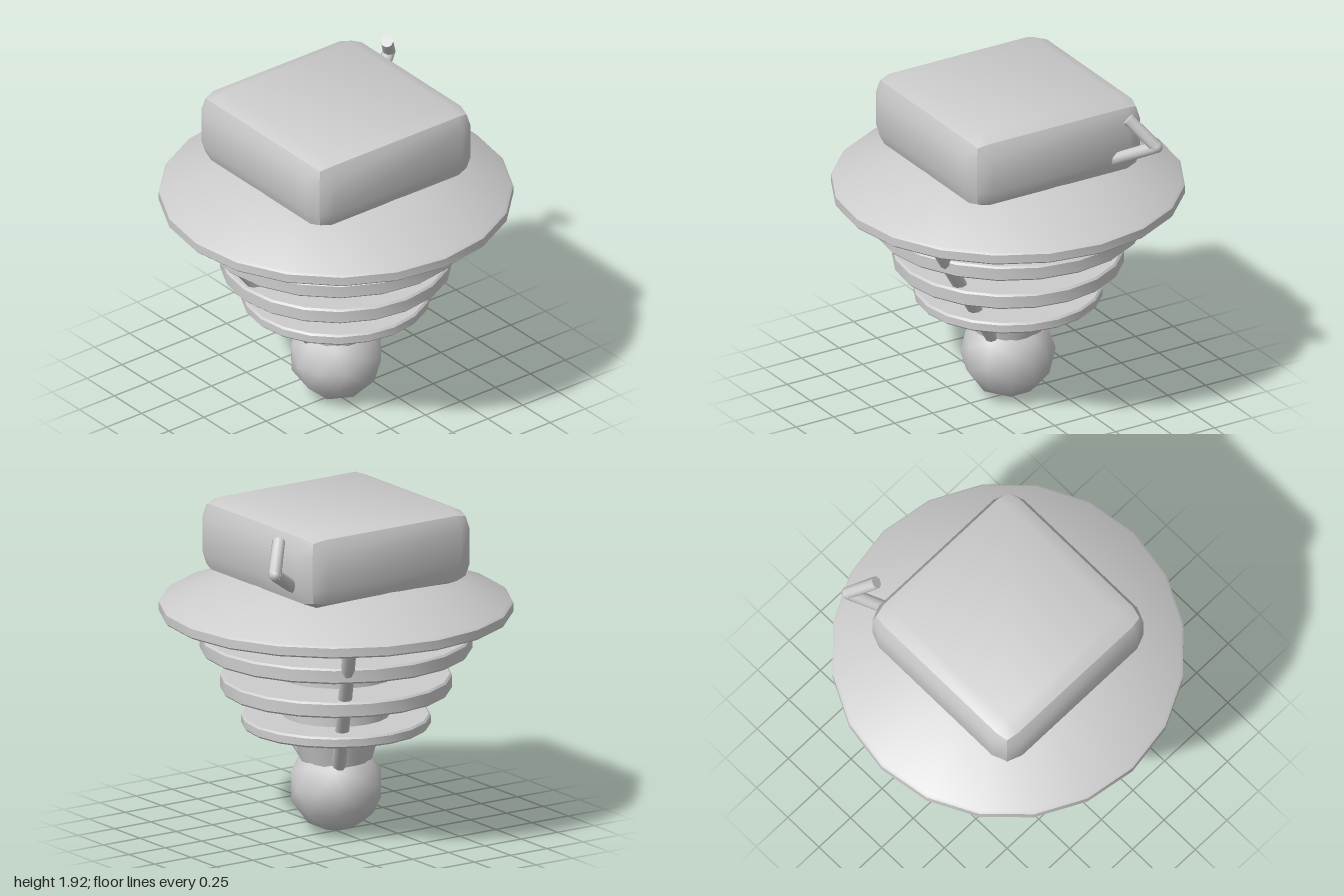
import * as THREE from 'three';
import { toCreasedNormals } from 'three/addons/utils/BufferGeometryUtils.js';
import { RoundedBoxGeometry } from 'three/addons/geometries/RoundedBoxGeometry.js';

const SIDES = 20;
const CREASE = 0.55; // radians: sharper edges than this stay hard

export function createModel() {
  const model = new THREE.Group();
  model.name = 'tieredTower';
  const grey = new THREE.MeshStandardMaterial({ color: 0xcccccc });
  grey.name = 'plain grey';

  function add(name, geometry) {
    const mesh = new THREE.Mesh(geometry, grey);
    mesh.name = name;
    model.add(mesh);
    return mesh;
  }

  // Turned part from [radius, height] points, bottom to top
  function turned(name, profile) {
    const points = profile.map(([r, y]) => new THREE.Vector2(r, y));
    return add(name, toCreasedNormals(new THREE.LatheGeometry(points, SIDES), CREASE));
  }

  // Straight rod between two points
  function rod(name, from, to, radius, sides) {
    const a = new THREE.Vector3(...from);
    const b = new THREE.Vector3(...to);
    const dir = b.clone().sub(a);
    const geometry = new THREE.CylinderGeometry(radius, radius, dir.length(), sides);
    const mesh = add(name, toCreasedNormals(geometry, 0.9));
    mesh.position.copy(a).add(b).multiplyScalar(0.5);
    mesh.quaternion.setFromUnitVectors(new THREE.Vector3(0, 1, 0), dir.normalize());
    return mesh;
  }

  // Bottom ball, turned so a five-fold corner faces the front
  const ball = new THREE.IcosahedronGeometry(0.27, 1);
  ball.rotateX(Math.atan(2 / (1 + Math.sqrt(5))));
  ball.rotateZ(Math.PI / 2);
  add('ball', ball).position.y = 0.273;

  // Core between the discs
  turned('neck', [[0, 0.38], [0.19, 0.38], [0.265, 0.64], [0, 0.64]]);
  const cores = [[0.305, 0.68, 0.85], [0.345, 0.91, 1.08], [0.385, 1.14, 1.3]];
  for (const [r, y0, y1] of cores) {
    turned('core', [[0, y0], [r, y0], [r, y1], [0, y1]]);
  }

  // Bevelled discs growing upwards
  const discs = [[0.535, 0.625, 0.69], [0.655, 0.835, 0.925], [0.77, 1.065, 1.155]];
  const b = 0.011;
  for (const [r, y0, y1] of discs) {
    turned('disc', [[0, y0], [r - b, y0], [r, y0 + b], [r, y1 - b], [r - b, y1], [0, y1]]);
  }

  // Wide conical roof
  turned('roof', [[0, 1.278], [0.99, 1.278], [1, 1.288], [1, 1.338], [0.985, 1.352], [0.53, 1.52], [0, 1.6]]);

  // Three sloping struts
  for (let i = 0; i < 3; i++) {
    const angle = (i * Math.PI * 2) / 3;
    const at = (r, y) => [r * Math.sin(angle), y, r * Math.cos(angle)];
    rod('strut', at(0.13, 0.36), at(0.879, 1.31), 0.04, 8);
  }

  // Head block with a two-step rounded edge
  const block = new RoundedBoxGeometry(1.15, 0.45, 1.15, 1, 0.12);
  add('headBlock', toCreasedNormals(block, CREASE)).position.y = 1.702;

  // Bent handle at the back
  const elbow = [-0.505, 1.73, -0.775];
  rod('handleArm', [-0.36, 1.595, -0.55], elbow, 0.037, 8);
  rod('handleGrip', elbow, [-0.385, 1.887, -0.665], 0.037, 8);
  const joint = add('handleElbow', new THREE.SphereGeometry(0.037, 8, 6));
  joint.position.set(...elbow);

  return model;
}
